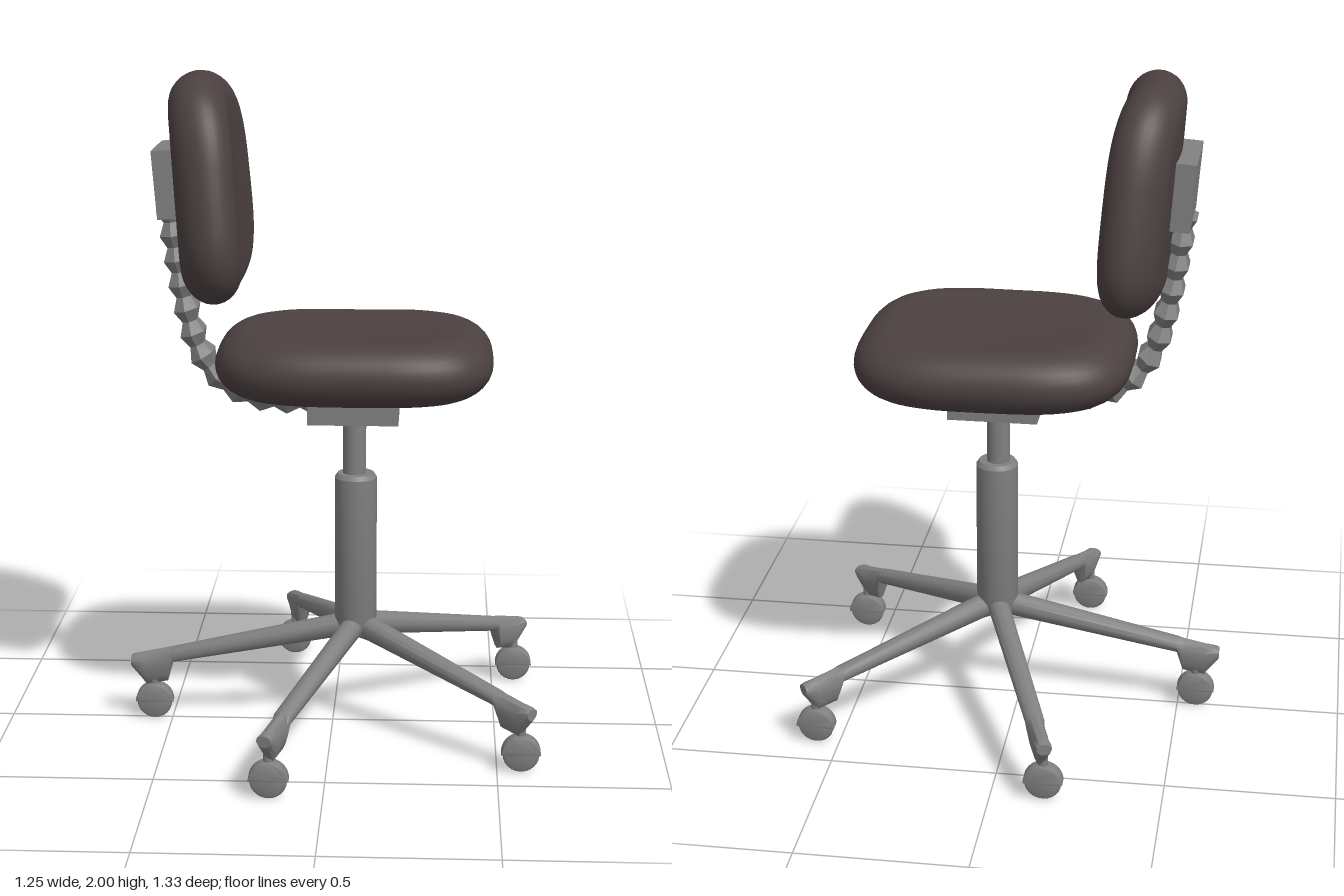
import * as THREE from 'three';
import { toCreasedNormals } from 'three/addons/utils/BufferGeometryUtils.js';

const fabric = new THREE.MeshStandardMaterial({ color: 0x4c4141 });
fabric.name = 'dark brown fabric';
const metal = new THREE.MeshStandardMaterial({ color: 0x808080 });
metal.name = 'grey metal';

const COLUMN_X = 0.07;

// Closed skin over a list of rings (each a loop of [x, y, z]); ends are capped at their centres
function loft(rings) {
  const n = rings[0].length;
  const middle = (ring) => {
    const c = [0, 1, 2].map((k) => ring.reduce((sum, p) => sum + p[k], 0) / n);
    return ring.map(() => c);
  };
  const all = [middle(rings[0]), ...rings, middle(rings[rings.length - 1])];
  const points = all.flat();
  const index = [];
  for (let i = 0; i < all.length - 1; i++) {
    for (let j = 0; j < n; j++) {
      const a = i * n + j, b = i * n + (j + 1) % n, c = a + n, d = b + n;
      if (i > 0) index.push(a, b, d);
      if (i < all.length - 2) index.push(a, d, c);
    }
  }
  // Turn the faces outward whichever way the rings run
  let volume = 0;
  const v = points.map((p) => new THREE.Vector3(...p));
  const cross = new THREE.Vector3();
  for (let i = 0; i < index.length; i += 3) {
    volume += v[index[i]].dot(cross.crossVectors(v[index[i + 1]], v[index[i + 2]]));
  }
  if (volume < 0) index.reverse();
  const geo = new THREE.BufferGeometry();
  geo.setAttribute('position', new THREE.Float32BufferAttribute(points.flat(), 3));
  geo.setIndex(index);
  geo.computeVertexNormals();
  return geo;
}

// Padded cushion: rounded-square outline (u, v in -1..1), puffed by h in -1..1, then placed
function cushion(place) {
  const profile = [[0.06, 1], [0.25, 1], [0.45, 1], [0.6, 0.995]];
  for (let i = 0; i <= 16; i++) {
    const a = Math.PI / 2 - (i / 16) * Math.PI;
    profile.push([0.72 + 0.28 * Math.cos(a), Math.sin(a) * 0.99]);
  }
  profile.push([0.6, -0.995], [0.45, -1], [0.25, -1], [0.06, -1]);
  const soft = (t) => Math.sign(t) * Math.abs(t) ** (2 / 3.3);
  return loft(profile.map(([s, h]) => Array.from({ length: 56 }, (_, j) => {
    const a = (j / 56) * Math.PI * 2;
    return place(s * soft(Math.cos(a)), s * soft(Math.sin(a)), h);
  })));
}

function add(parent, name, geometry, material, x = 0, y = 0, z = 0) {
  const mesh = new THREE.Mesh(geometry, material);
  mesh.name = name;
  mesh.position.set(x, y, z);
  parent.add(mesh);
  return mesh;
}

// Leg with a downturned foot, running along +x from the column
function legGeometry() {
  // distance, top, bottom, half width above, half width below
  const stations = [
    [0, 0.36, 0.275, 0.036, 0.03], [0.06, 0.348, 0.272, 0.036, 0.03],
    [0.57, 0.232, 0.183, 0.03, 0.028], [0.588, 0.23, 0.12, 0.03, 0.02],
    [0.655, 0.216, 0.108, 0.03, 0.019], [0.69, 0.208, 0.155, 0.028, 0.022],
    [0.7, 0.203, 0.168, 0.026, 0.02],
  ];
  const rings = stations.map(([r, top, bottom, wide, narrow]) =>
    Array.from({ length: 12 }, (_, j) => {
      const a = (j / 12) * Math.PI * 2;
      const up = Math.sin(a);
      const t = (up + 1) / 2;
      return [r, bottom + (top - bottom) * t, Math.cos(a) * (narrow + (wide - narrow) * t)];
    }));
  return toCreasedNormals(loft(rings), 0.65);
}

// Twin-wheel caster rolling along x, with a half-round hood over the wheels
function makeCaster(x, z) {
  const caster = new THREE.Group();
  caster.name = 'caster';
  const wheelProfile = [[0, 0.019], [0.035, 0.018], [0.05, 0.013], [0.054, 0.007], [0.054, 0.003], [0.03, 0.002], [0, 0.002]]
    .map(([r, w]) => new THREE.Vector2(r, w)).reverse();
  const wheel = toCreasedNormals(new THREE.LatheGeometry(wheelProfile, 24), 0.6);
  for (const side of [1, -1]) {
    add(caster, 'casterWheel', wheel, metal, 0, 0.055, 0).rotation.x = side * Math.PI / 2;
  }
  const arc = new THREE.Shape();
  arc.absarc(0, 0, 0.058, 0, Math.PI, false);
  const hood = new THREE.ExtrudeGeometry(arc, {
    depth: 0.036, bevelEnabled: true, bevelThickness: 0.006, bevelSize: 0.004,
    bevelOffset: -0.004, bevelSegments: 2, curveSegments: 16,
  });
  add(caster, 'casterHood', toCreasedNormals(hood, 0.6), metal, 0, 0.055, -0.018);
  add(caster, 'casterStem', new THREE.CylinderGeometry(0.014, 0.014, 0.06, 12), metal, 0, 0.125, 0);
  caster.position.set(x, 0, z);
  return caster;
}

// Ribbed spine sweeping from under the seat up to the back plate
function spineGeometry() {
  const path = new THREE.CatmullRomCurve3([
    [-0.06, 1.025], [-0.17, 1.027], [-0.25, 1.042], [-0.33, 1.085], [-0.395, 1.17],
    [-0.435, 1.3], [-0.462, 1.45], [-0.483, 1.6],
  ].map(([x, y]) => new THREE.Vector3(x, y, 0)));
  const ribs = 11;
  const rings = [];
  for (let i = 0; i <= ribs * 2; i++) {
    const t = i / (ribs * 2);
    const p = path.getPointAt(t), d = path.getTangentAt(t);
    const wide = i % 2 === 0;
    const thick = wide ? 0.036 : 0.021, half = wide ? 0.075 : 0.045;
    rings.push([[1, 0.6], [1, -0.6], [0, -1], [-1, -0.6], [-1, 0.6], [0, 1]].map(([n, w]) =>
      [p.x - d.y * n * thick, p.y + d.x * n * thick, w * half]));
  }
  const geo = loft(rings).toNonIndexed();
  geo.computeVertexNormals();
  return geo;
}

export function createModel() {
  const chair = new THREE.Group();
  chair.name = 'swivelChair';

  // Cushions: a gently dished seat and a tapered, wrapped backrest
  add(chair, 'seat', cushion((u, v, h) => {
    const dish = h > 0 ? 0.014 * Math.max(0, 1 - 1.4 * (u * u + v * v)) : 0;
    return [0.067 + 0.413 * u, 1.157 + 0.094 * h - dish, 0.362 * v * (1 + 0.02 * u)];
  }), fabric);
  add(chair, 'backrest', cushion((u, v, h) => [
    -0.37 - 0.026 * v + 0.032 * u * u + 0.088 * h,
    1.67 + 0.332 * v,
    (0.33 - 0.068 * v) * u,
  ]), fabric);

  // Back support
  add(chair, 'backPlate', new THREE.BoxGeometry(0.06, 0.2, 0.27), metal, -0.482, 1.687, 0)
    .rotation.z = 0.08;
  add(chair, 'spine', spineGeometry(), metal);

  // Column and seat mount
  add(chair, 'seatMount', new THREE.BoxGeometry(0.27, 0.1, 0.27), metal, COLUMN_X - 0.005, 1.026, 0);
  add(chair, 'gasLift', new THREE.CylinderGeometry(0.035, 0.035, 0.22, 24), metal, COLUMN_X - 0.004, 0.88, 0);
  const sleeve = [[0, 0.28], [0.05, 0.29], [0.064, 0.34], [0.064, 0.785], [0.055, 0.798], [0, 0.798]]
    .map(([r, y]) => new THREE.Vector2(r, y));
  add(chair, 'column', toCreasedNormals(new THREE.LatheGeometry(sleeve, 28), 0.5), metal, COLUMN_X, 0, 0);

  // Five-star base: angle of each leg, and where its caster stands
  const base = new THREE.Group();
  base.name = 'base';
  const leg = legGeometry();
  const legs = [
    [180, -0.555, 0],
    [110, -0.155, -0.613], [-110, -0.155, 0.613],
    [38.3, 0.57, -0.385], [-38.3, 0.57, 0.385],
  ];
  for (const [angle, x, z] of legs) {
    const mesh = add(base, 'leg', leg, metal, COLUMN_X + 0.005, 0, 0);
    mesh.rotation.y = THREE.MathUtils.degToRad(angle);
    if (Math.abs(angle) < 90) mesh.scale.x = 0.955;
    base.add(makeCaster(x, z));
  }
  chair.add(base);
  return chair;
}
